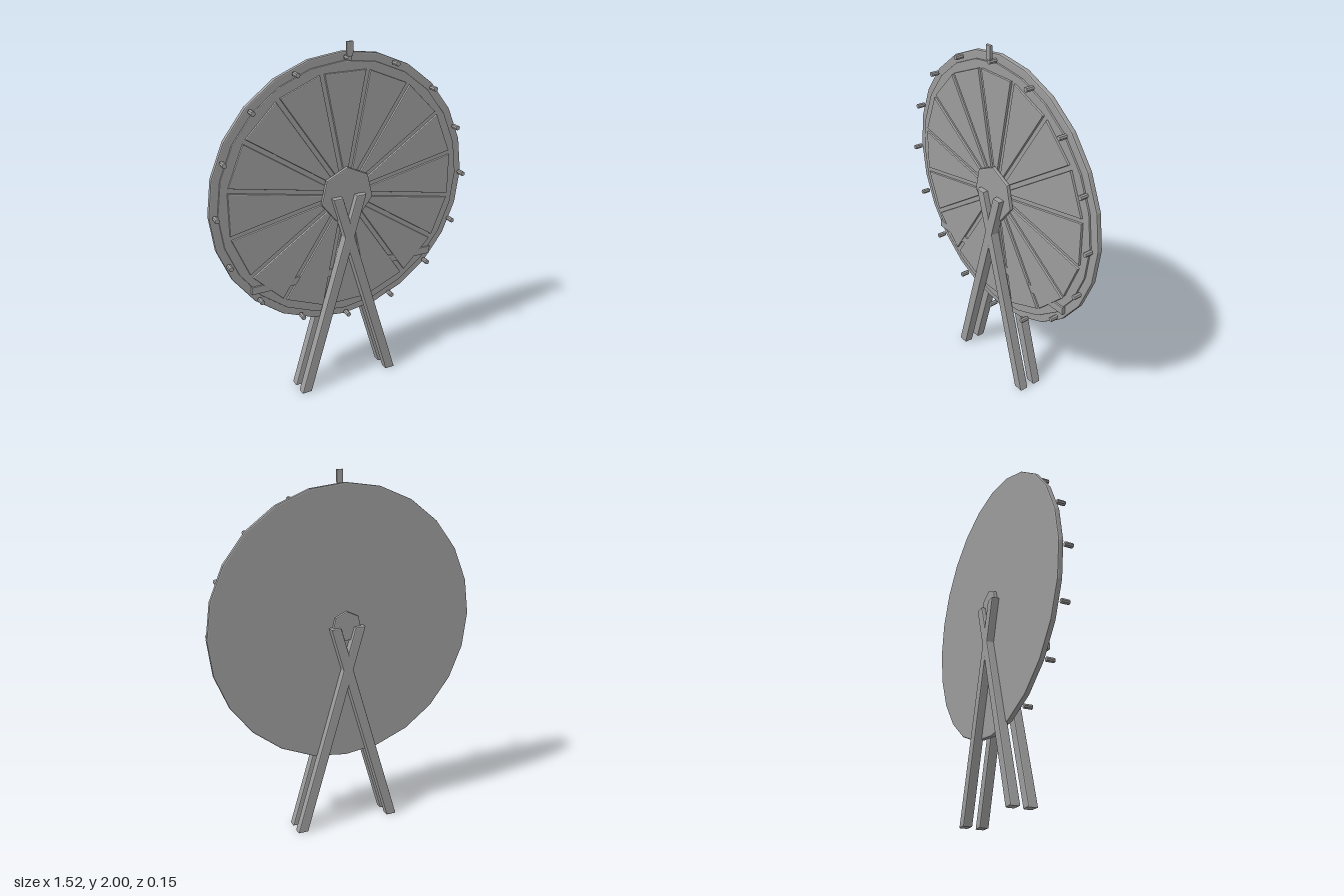
import * as THREE from 'three';

const WHEEL_Y = 1.18;

export function createModel() {
  const model = new THREE.Group();
  const grey = new THREE.MeshStandardMaterial({ color: 0x9c9c9c, flatShading: true });
  grey.name = 'plain grey';

  // Flat plate cut from an outline, between two depths, with softened edges
  function plate(name, points, z0, z1, bevel, parent = model) {
    const shape = new THREE.Shape(points.map(([x, y]) => new THREE.Vector2(x, y)));
    const geometry = new THREE.ExtrudeGeometry(shape, {
      depth: z1 - z0 - 2 * bevel, bevelEnabled: true, bevelThickness: bevel,
      bevelSize: bevel, bevelOffset: -bevel, bevelSegments: 2,
    });
    geometry.translate(0, 0, z0 + bevel);
    const mesh = new THREE.Mesh(geometry, grey);
    mesh.name = name;
    parent.add(mesh);
    return mesh;
  }

  // Regular polygon with a corner at the top, counter-clockwise
  function polygon(sides, radius) {
    return Array.from({ length: sides }, (_, i) => {
      const a = Math.PI / 2 + (i / sides) * Math.PI * 2;
      return [radius * Math.cos(a), radius * Math.sin(a)];
    });
  }

  // Wheel: rim disc, raised face and hubs
  const wheel = new THREE.Group();
  wheel.name = 'wheel';
  wheel.position.y = WHEEL_Y;
  model.add(wheel);
  plate('rimDisc', polygon(24, 0.76), -0.031, -0.002, 0.007, wheel);
  plate('faceDisc', polygon(24, 0.715), -0.006, 0.008, 0.004, wheel);
  plate('frontHub', polygon(7, 0.157), 0.02, 0.042, 0.006, wheel);
  plate('backHub', polygon(7, 0.085), -0.05, -0.028, 0.005, wheel);

  // Sixteen wedge panels and sixteen pegs
  const halfWidth = (r) => r * Math.tan(Math.PI / 16) - 0.013;
  const inner = 0.12, outer = 0.66;
  const wedge = [
    [-halfWidth(inner), inner], [halfWidth(inner), inner],
    [halfWidth(outer), outer], [-halfWidth(outer), outer],
  ];
  for (let i = 0; i < 16; i++) {
    const angle = (i / 16) * Math.PI * 2;
    plate('wedgePanel', wedge, 0.002, 0.021, 0.005, wheel).rotation.z = angle;
    const peg = plate('peg', polygon(8, 0.0135), 0.015, 0.063, 0.004, wheel);
    peg.position.set(-0.735 * Math.sin(angle), 0.735 * Math.cos(angle), 0);
  }

  // Low crossbar showing between the wedges
  plate('crossbar', [[-0.56, 0.695], [0.56, 0.695], [0.56, 0.74], [-0.56, 0.74]], -0.008, 0.018, 0.004);

  // Crossed legs in front of and behind the wheel
  for (const [z0, z1, label] of [[0.02, 0.073, 'frontLeg'], [-0.073, -0.02, 'backLeg']]) {
    const half = 0.029, foot = 0.277, tip = -0.07, top = 1.178;
    const right = [[foot - half, 0], [foot + half, 0], [tip + half, top], [tip - half, top]];
    const left = right.map(([x, y]) => [-x, y]).reverse();
    plate(label, right, z0, z1, 0.007);
    plate(label, left, z0, z1, 0.007);
  }

  // Pointer above the wheel
  plate('pointer', [[-0.012, 1.925], [0.012, 1.925], [0.018, 1.94], [0.018, 2], [-0.018, 2], [-0.018, 1.94]],
    0.048, 0.066, 0.004);

  return model;
}
